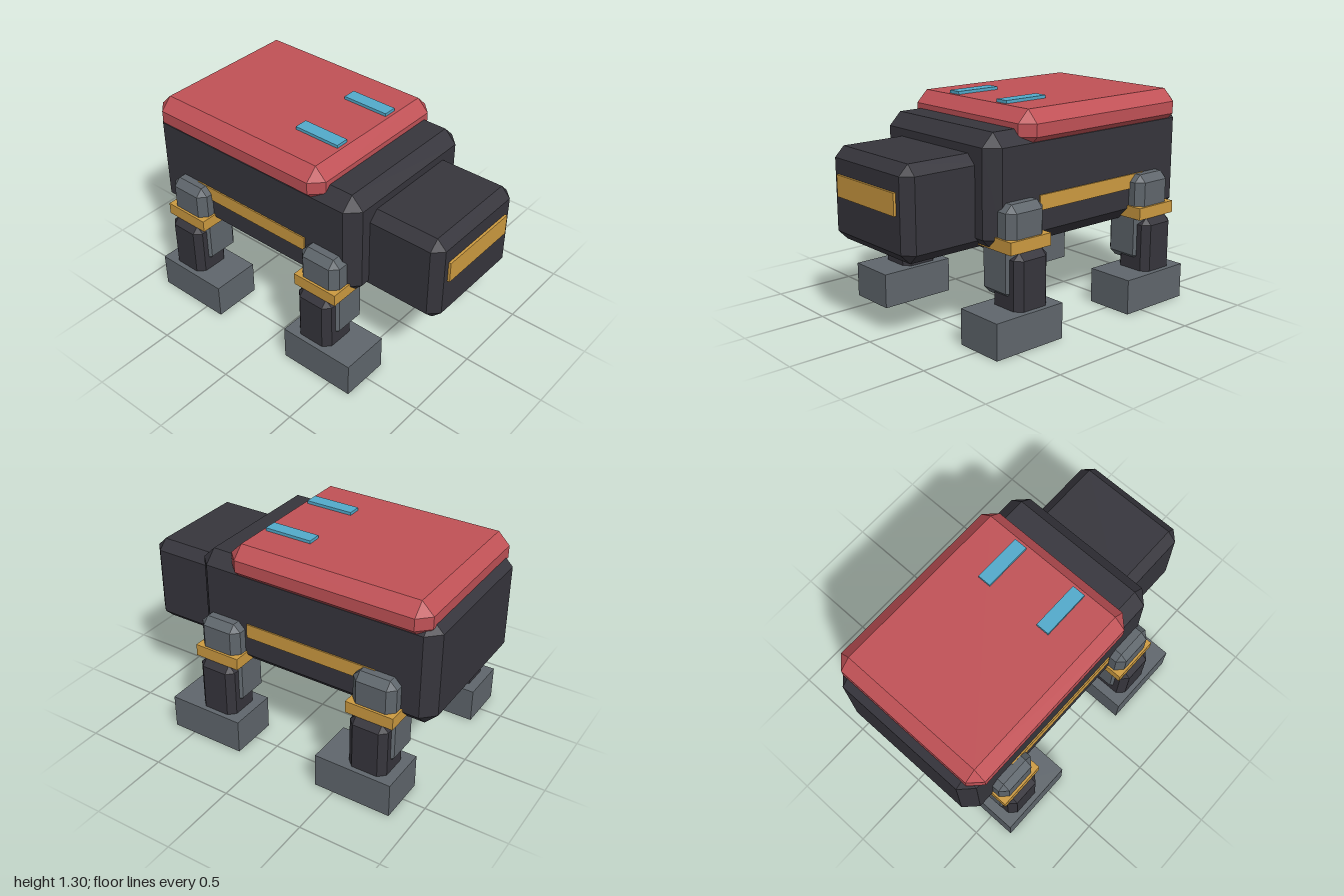
import * as THREE from 'three';
import { ConvexGeometry } from 'three/addons/geometries/ConvexGeometry.js';

const paint = (name, color) => {
  const m = new THREE.MeshStandardMaterial({ color });
  m.name = name;
  return m;
};

// Box with every edge cut by c: each corner becomes three points
function chamferBox(w, h, d, c) {
  const points = [];
  for (const sx of [-1, 1]) for (const sy of [-1, 1]) for (const sz of [-1, 1]) {
    for (let axis = 0; axis < 3; axis++) {
      const half = [w / 2, h / 2, d / 2].map((v, i) => (i === axis ? v : v - c));
      points.push(new THREE.Vector3(sx * half[0], sy * half[1], sz * half[2]));
    }
  }
  return new ConvexGeometry(points);
}

// Block given by its [min, max] range on each axis
function block(name, material, x, y, z, chamfer = 0) {
  const size = [x, y, z].map(r => r[1] - r[0]);
  const geometry = chamfer ? chamferBox(...size, chamfer) : new THREE.BoxGeometry(...size);
  const mesh = new THREE.Mesh(geometry, material);
  mesh.position.set(...[x, y, z].map(r => (r[0] + r[1]) / 2));
  mesh.name = name;
  return mesh;
}

export function createModel() {
  const dark = paint('charcoal', 0x36353c);
  const grey = paint('steel grey', 0x5f666c);
  const red = paint('red', 0xc05156);
  const gold = paint('gold', 0xcc9a40);
  const blue = paint('light blue', 0x52aacb);

  const model = new THREE.Group();
  model.name = 'quadrupedRobot';

  // Body, head and back shell
  model.add(
    block('body', dark, [-0.497, 0.497], [0.515, 1.175], [-1, 0.533], 0.076),
    block('head', dark, [-0.36, 0.36], [0.515, 1.054], [0.4, 0.985], 0.058),
    block('visor', gold, [-0.27, 0.27], [0.78, 0.906], [0.97, 1]),
    block('backShell', red, [-0.526, 0.526], [1.06, 1.278], [-0.955, 0.307], 0.072)
  );

  for (const side of [-1, 1]) {
    const range = (a, b) => (side > 0 ? [a, b] : [-b, -a]);

    // Light strip on the shell and stripe along the flank
    model.add(
      block('lightStrip', blue, range(0.17, 0.252), [1.27, 1.296], [-0.083, 0.215]),
      block('sideStripe', gold, range(0.48, 0.505), [0.713, 0.8], [-0.655, 0.187])
    );

    // Legs: front and rear share one design
    for (const [place, z] of [['front', 0.34], ['rear', -0.68]]) {
      const leg = new THREE.Group();
      leg.name = place + (side > 0 ? 'LeftLeg' : 'RightLeg');
      leg.position.z = z;
      leg.add(
        block('upperLeg', grey, range(0.318, 0.586), [0.26, 0.798], [-0.135, 0.135], 0.043),
        block('kneeBand', gold, range(0.305, 0.6), [0.537, 0.61], [-0.147, 0.147]),
        block('lowerLeg', dark, range(0.395, 0.632), [0.13, 0.54], [-0.12, 0.12], 0.04),
        block('foot', grey, range(0.362, 0.663), [0, 0.212], [-0.181, 0.299].map(v => v - 0.0 - 0)),
      );
      model.add(leg);
    }
  }

  // Feet sit slightly forward of the legs
  model.traverse(o => { if (o.name === 'foot') o.position.z = 0.06; });
  return model;
}
